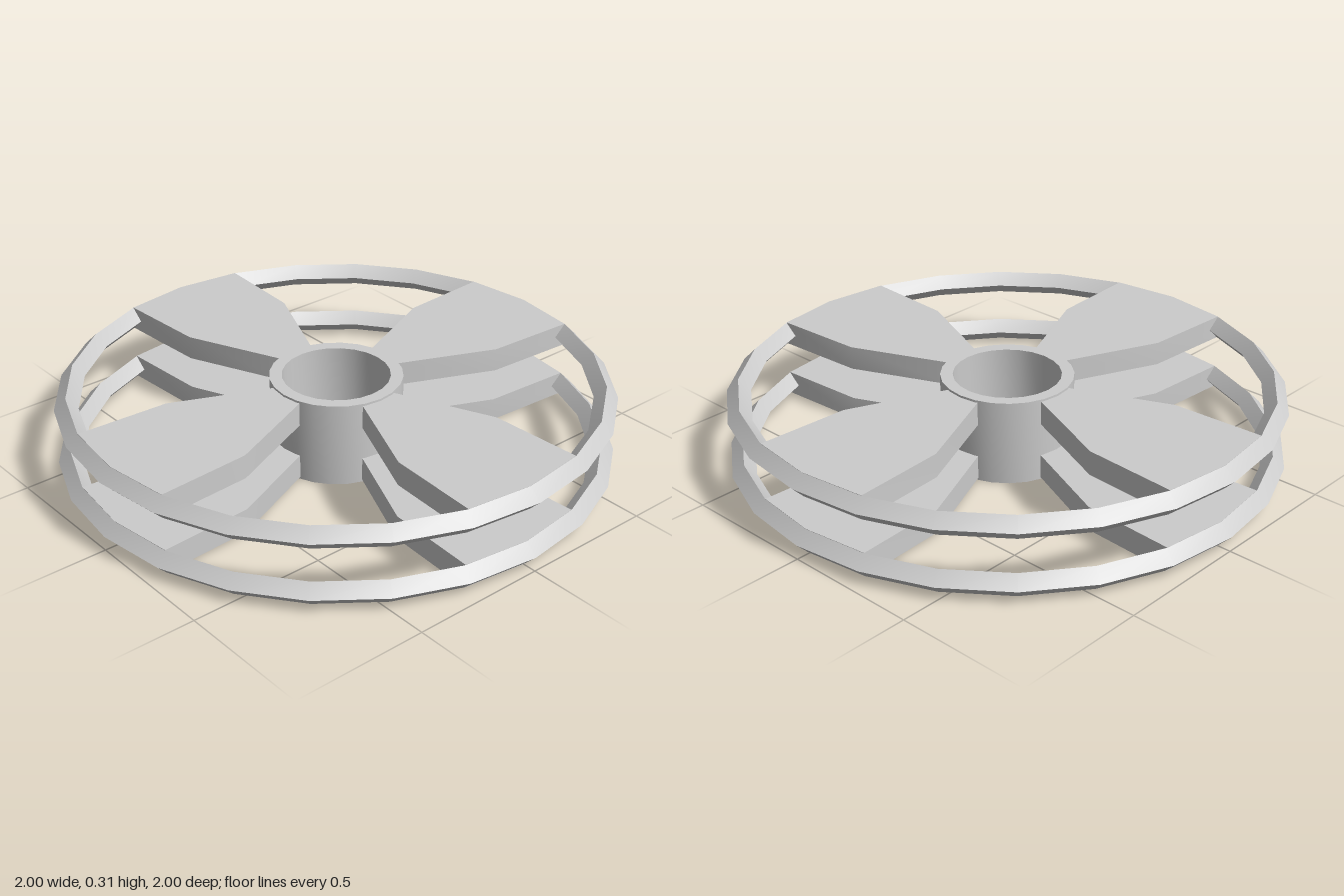
import * as THREE from 'three';
import { toCreasedNormals } from 'three/addons/utils/BufferGeometryUtils.js';

const SIDES = 24;
const MID_RADIUS = 0.957;
const TUBE = 0.043;
const material = new THREE.MeshStandardMaterial({ color: 0xcccccc });

function part(name, geometry) {
  const mesh = new THREE.Mesh(toCreasedNormals(geometry, 0.6), material);
  mesh.name = name;
  return mesh;
}

// Diamond-section ring with 24 sides, lying flat
function rimGeometry() {
  return new THREE.TorusGeometry(MID_RADIUS, TUBE, 4, SIDES).rotateX(Math.PI / 2);
}

// Flared blade from hub to rim, lying flat and centred on y = 0
function spokeGeometry() {
  const half = [[0.07, 0.222], [0.225, 0.58], [0.245, 0.925]];
  const outline = [...half, [0, MID_RADIUS], ...half.map(([x, y]) => [-x, y]).reverse()];
  const shape = new THREE.Shape(outline.map(([x, y]) => new THREE.Vector2(x, y)));
  const depth = 0.088;
  return new THREE.ExtrudeGeometry(shape, { depth, bevelEnabled: false })
    .translate(0, 0, -depth / 2)
    .rotateX(Math.PI / 2);
}

function createWheel(name) {
  const wheel = new THREE.Group();
  wheel.name = name;
  wheel.add(part('rim', rimGeometry()));
  for (let i = 0; i < 4; i++) {
    const spoke = part('spoke', spokeGeometry());
    spoke.rotation.y = (i * Math.PI) / 2;
    wheel.add(spoke);
  }
  return wheel;
}

export function createModel() {
  const model = new THREE.Group();
  model.name = 'spool';

  // Two identical spoked flanges
  const lower = createWheel('lowerFlange');
  lower.position.y = 0.052;
  const upper = createWheel('upperFlange');
  upper.position.y = 0.263;
  model.add(lower, upper);

  // Open hub tube joining them
  const profile = [[0.195, 0], [0.24, 0], [0.24, 0.315], [0.195, 0.315], [0.195, 0]];
  const hub = new THREE.LatheGeometry(profile.map(([r, y]) => new THREE.Vector2(r, y)), SIDES);
  model.add(part('hub', hub));

  return model;
}
